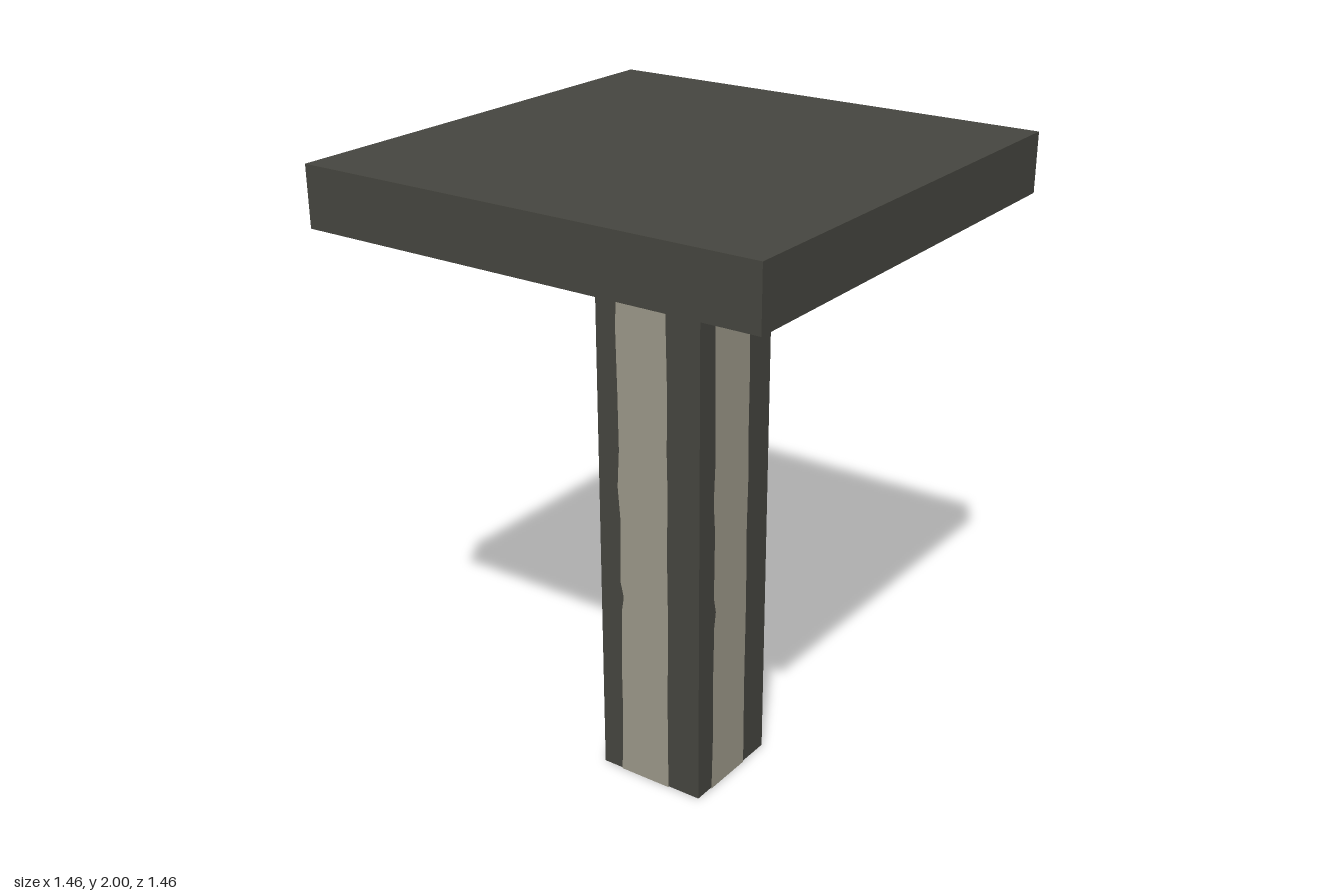
import * as THREE from 'three';

const H = 1.82;      // column height, underside of the slab
const HALF = 0.182;  // half width of the column
const LIFT = 0.002;  // paint thickness

// Stripe outline with slightly ragged edges, as [height, offset] pairs
const LEFT = [[0, -0.112], [0.2, -0.106], [0.4, -0.108], [0.58, -0.104], [0.63, -0.096], [0.68, -0.107],
  [0.9, -0.104], [1.0, -0.112], [1.12, -0.105], [1.3, -0.107], [1.5, -0.111], [1.65, -0.105], [H, -0.106]];
const RIGHT = [[0, 0.069], [0.3, 0.067], [0.6, 0.07], [0.85, 0.067], [1.0, 0.071], [1.15, 0.068],
  [1.35, 0.07], [1.55, 0.066], [H, 0.069]];

export function createModel() {
  const dark = new THREE.MeshStandardMaterial({ color: 0x464640 });
  dark.name = 'darkStone';
  const pale = new THREE.MeshStandardMaterial({ color: 0x9d998a });
  pale.name = 'paleStripe';
  const model = new THREE.Group();
  model.name = 'pedestal';

  const add = (name, geometry, material, parent = model) => {
    const mesh = new THREE.Mesh(geometry, material);
    mesh.name = name;
    parent.add(mesh);
    return mesh;
  };

  // Square slab and column
  add('slab', new THREE.BoxGeometry(1.456, 2 - H, 1.456), dark).position.y = (2 + H) / 2;
  add('column', new THREE.BoxGeometry(2 * HALF, H - LIFT, 2 * HALF), dark).position.y = (H + LIFT) / 2;

  // One painted stripe on each side of the column
  const outline = [...RIGHT, ...LEFT.slice().reverse()].map(([y, x]) => new THREE.Vector2(x, y));
  const stripe = new THREE.ShapeGeometry(new THREE.Shape(outline));
  stripe.translate(0, 0, HALF + LIFT);
  for (let i = 0; i < 4; i++) add('columnStripe', stripe, pale).rotation.y = i * Math.PI / 2;

  // Stripe across the foot of the column
  const foot = add('footStripe', new THREE.PlaneGeometry(0.18, 2 * HALF), pale);
  foot.rotation.x = Math.PI / 2;
  foot.position.x = -0.02;

  return model;
}
